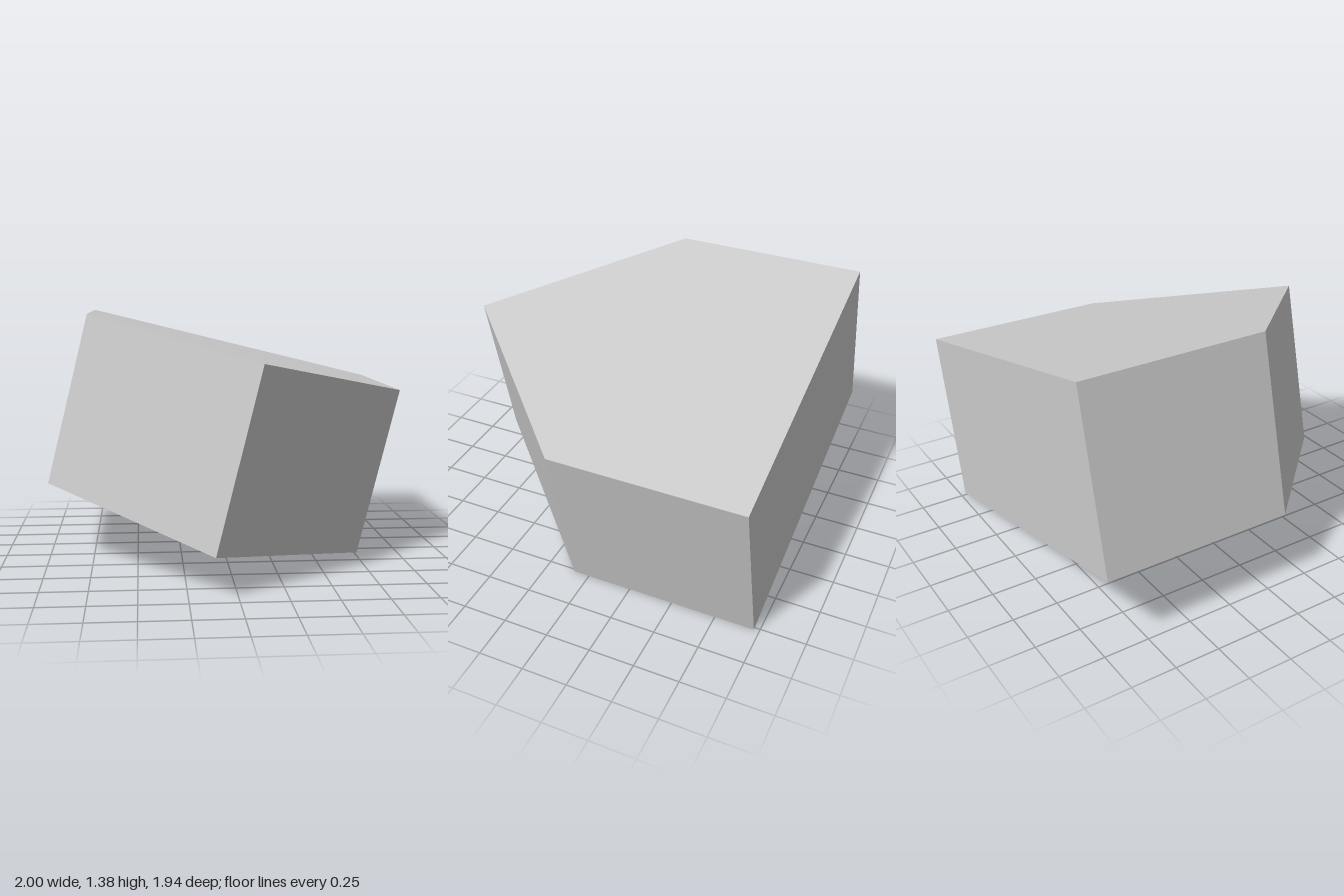
import * as THREE from 'three';

export function createModel() {
  const group = new THREE.Group();
  const halfWidth = 0.909, height = 0.974, back = -0.97, shoulder = 0.09, tip = 0.97;

  // Five-sided plan, drawn with shape y = -z
  const plan = new THREE.Shape([
    [-halfWidth, -back], [-halfWidth, -shoulder], [0, -tip],
    [halfWidth, -shoulder], [halfWidth, -back],
  ].map(([x, y]) => new THREE.Vector2(x, y)));

  // Plan raised to a prism, centred on its height
  const geometry = new THREE.ExtrudeGeometry(plan, { depth: height, bevelEnabled: false });
  geometry.translate(0, 0, -height / 2);
  geometry.rotateX(-Math.PI / 2);

  // Block leaning down towards its left
  const block = new THREE.Mesh(
    geometry,
    new THREE.MeshStandardMaterial({ color: 0xcccccc, flatShading: true })
  );
  block.name = 'pointedBlock';
  block.rotation.z = -0.242;
  block.position.y = 0.692;
  group.add(block);
  return group;
}
